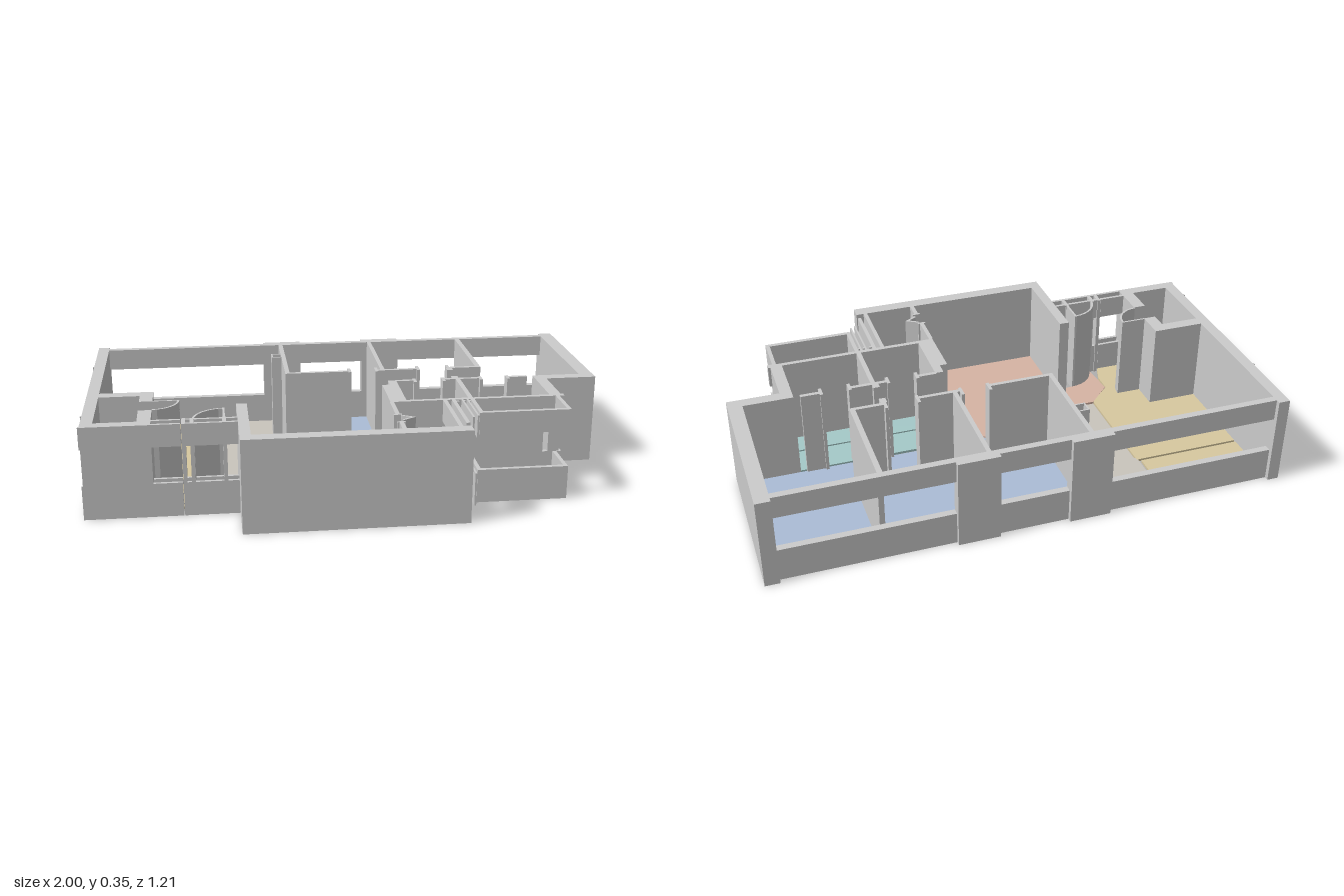
import * as THREE from 'three';

const H = 0.355, SILL = 0.13, HEAD = 0.27, FLOOR = 0.01;

export function createModel() {
  const model = new THREE.Group();
  model.name = 'apartment';
  const wallMat = new THREE.MeshStandardMaterial({ color: 0xcccccc });
  const mats = {};
  const floorMat = c => (mats[c] ??= new THREE.MeshStandardMaterial({ color: c }));

  // Upright block between two x, two z and two y values
  function block(name, x0, x1, z0, z1, y0 = 0, y1 = H) {
    const m = new THREE.Mesh(new THREE.BoxGeometry(x1 - x0, y1 - y0, z1 - z0), wallMat);
    m.position.set((x0 + x1) / 2, (y0 + y1) / 2, (z0 + z1) / 2);
    m.name = name;
    model.add(m);
  }
  // Sill and lintel with an open window band between them
  function windowWall(name, x0, x1, z0, z1) {
    block(name + 'Sill', x0, x1, z0, z1, 0, SILL);
    block(name + 'Lintel', x0, x1, z0, z1, HEAD, H);
  }
  // Flat slab from x, z outline points
  function slab(name, color, pts, y0 = 0, y1 = FLOOR, mat = floorMat(color)) {
    const shape = new THREE.Shape(pts.map(p => new THREE.Vector2(p[0], p[1])));
    const geo = new THREE.ExtrudeGeometry(shape, { depth: y1 - y0, bevelEnabled: false });
    geo.rotateX(Math.PI / 2);
    const m = new THREE.Mesh(geo, mat);
    m.position.y = y1;
    m.name = name;
    model.add(m);
  }
  const rect = (x0, x1, z0, z1) => [[x0, z0], [x1, z0], [x1, z1], [x0, z1]];
  // Thin curved upright following a door swing
  function doorSwing(name, cx, cz, r, a0, a1, t = 0.008) {
    const pts = [];
    for (let i = 0; i <= 8; i++) {
      const a = a0 + (a1 - a0) * i / 8;
      pts.push([cx + r * Math.cos(a), cz + r * Math.sin(a)]);
    }
    for (let i = 8; i >= 0; i--) {
      const a = a0 + (a1 - a0) * i / 8;
      pts.push([cx + (r - t) * Math.cos(a), cz + (r - t) * Math.sin(a)]);
    }
    slab(name, 0, pts, 0, H, wallMat);
  }

  // Floors
  const TAN = 0xd8c9a0, STONE = 0xcac5bd, BLUE = 0xabbdd6, SALMON = 0xd6b4a4, TEAL = 0xa5c9c8, GREY = 0xbcbfba;
  slab('diningFloorBack', TAN, rect(-0.95, -0.535, -0.56, -0.346));
  slab('diningFloorFront', TAN, [[-0.95, -0.336], [-0.52, -0.336], [-0.52, 0.11], [-0.615, 0.2], [-0.615, 0.28],
    [-0.64, 0.355], [-0.745, 0.355], [-0.745, 0.245], [-0.69, 0.22], [-0.65, 0.145], [-0.745, 0.145], [-0.745, 0.03], [-0.95, 0.03]]);
  slab('hallFloor', STONE, [[-0.525, -0.56], [-0.225, -0.56], [-0.225, -0.14], [-0.145, -0.135], [-0.375, 0.095],
    [-0.513, 0.095], [-0.513, -0.32], [-0.525, -0.33]]);
  slab('salonFloor', SALMON, [[-0.14, -0.125], [0.045, 0.05], [0.14, 0.05], [0.14, 0.55], [-0.395, 0.55], [-0.395, 0.21],
    [-0.435, 0.21], [-0.435, 0.245], [-0.51, 0.255], [-0.57, 0.29], [-0.6, 0.35], [-0.612, 0.2], [-0.52, 0.108], [-0.37, 0.108]]);
  slab('bedroomFloor', BLUE, rect(-0.205, 0.163, -0.56, -0.157));
  slab('bedroomFloor', BLUE, rect(0.18, 0.552, -0.56, -0.157));
  slab('corridorFloor', BLUE, [[-0.13, -0.14], [0.04, -0.14], [0.04, -0.157], [0.14, -0.157], [0.14, -0.14], [0.435, -0.14],
    [0.435, -0.005], [0.19, -0.005], [0.19, 0.045], [0.05, 0.045]]);
  slab('mainBedroomFloor', BLUE, [[0.575, -0.56], [0.945, -0.56], [0.945, 0], [0.445, 0], [0.445, -0.14], [0.575, -0.14]]);
  for (const [x0, x1] of [[0.205, 0.44], [0.46, 0.755]]) {
    slab('bathroomFloorBack', TEAL, rect(x0, x1, 0.01, 0.138));
    slab('bathroomFloorFront', TEAL, rect(x0, x1, 0.146, 0.24));
  }
  slab('kitchenFloor', GREY, rect(0.155, 0.34, 0.26, 0.545));
  slab('balconyFloor', STONE, rect(0.46, 0.775, 0.262, 0.402));
  slab('storeFloor', STONE, rect(-0.95, -0.795, 0.075, 0.367));
  slab('entryFloor', GREY, [[-0.48, 0.262], [-0.48, 0.36], [-0.595, 0.36], [-0.58, 0.31], [-0.54, 0.275]]);

  // Outer walls
  block('leftWall', -0.995, -0.95, -0.605, 0.41);
  block('rightWall', 0.945, 1, -0.605, 0.045);
  block('rightFrontWall', 0.80, 0.945, 0, 0.045);
  block('bathroomRightWall', 0.755, 0.80, 0, 0.26);
  block('salonFrontWall', -0.435, 0.385, 0.55, 0.6);
  block('salonLeftWall', -0.435, -0.395, 0.21, 0.55);

  // Back wall: window bands between two piers
  for (const [x0, x1] of [[-0.29, -0.13], [0.14, 0.3]]) block('backPier', x0, x1, -0.605, -0.56);
  for (const [x0, x1] of [[-0.95, -0.29], [-0.13, 0.14], [0.3, 0.945]]) windowWall('backWindow', x0, x1, -0.587, -0.56);

  // Ribs on the outer left wall
  for (let i = 0; i < 7; i++) block('wallRib', -1, -0.995, -0.17 + i * 0.032, -0.155 + i * 0.032, i % 2 ? 0.13 : 0.1, i % 2 ? 0.27 : 0.24);
  for (const z of [-0.33, 0.28, 0.4]) {
    block('wallRibLow', -1, -0.995, z, z + 0.01, 0, SILL);
    block('wallRibHigh', -1, -0.995, z, z + 0.01, HEAD, H);
  }

  // Store room beside the entry
  block('storeBackWall', -0.95, -0.745, 0.03, 0.077);
  block('storeFrontWall', -0.95, -0.745, 0.367, 0.41);
  block('storeSideWall', -0.795, -0.745, 0.077, 0.145);
  block('storeSideWall', -0.795, -0.745, 0.245, 0.367);
  // Entry windows and door
  for (const z of [0.355, 0.398]) {
    windowWall('entryWindow', -0.745, -0.64, z, z + 0.012);
    windowWall('entryWindow', -0.635, -0.435, z, z + 0.012);
  }
  for (const x of [-0.637, -0.607, -0.49]) block('entryPost', x, x + 0.014, 0.35, 0.41);
  doorSwing('entryDoorSwing', -0.48, 0.37, 0.12, Math.PI, Math.PI * 1.5);
  block('entryDoorLeaf', -0.487, -0.479, 0.25, 0.37);
  doorSwing('storeDoorSwing', -0.745, 0.145, 0.1, 0, Math.PI / 2);
  block('storeDoorLeaf', -0.745, -0.645, 0.139, 0.147);

  // Bedroom partitions
  block('hallPartition', -0.225, -0.207, -0.56, -0.14);
  block('bedroomPartition', 0.163, 0.18, -0.56, -0.14);
  block('bedroomPartition', 0.555, 0.575, -0.56, -0.14);
  for (const [x0, x1] of [[-0.225, 0.04], [0.14, 0.32], [0.44, 0.575]]) block('bedroomFrontWall', x0, x1, -0.156, -0.14);
  for (const x of [0.03, 0.14, 0.31, 0.435]) block('doorJamb', x, x + 0.012, -0.18, -0.13);
  // Hollow duct against the hall partition
  block('ductSide', -0.265, -0.259, -0.425, -0.375);
  block('ductEnd', -0.259, -0.225, -0.425, -0.419);
  block('ductEnd', -0.259, -0.225, -0.381, -0.375);

  // Bathroom walls
  block('bathroomLeftWall', 0.14, 0.203, 0.05, 0.25);
  block('bathroomLeftPier', 0.17, 0.203, 0, 0.05);
  block('bathroomMiddleWall', 0.44, 0.458, 0, 0.25);
  block('bathroomFrontWall', 0.14, 0.735, 0.242, 0.26);
  windowWall('bathroomFrontWindow', 0.735, 0.755, 0.242, 0.26);
  for (const [x0, x1] of [[0.2, 0.28], [0.39, 0.54], [0.65, 0.73]]) block('bathroomBackWall', x0, x1, -0.006, 0.01);
  for (const x of [0.27, 0.385, 0.535, 0.645]) block('bathroomDoorJamb', x, x + 0.012, -0.015, 0.03);
  for (const z of [-0.14, -0.03]) block('mainBedroomDoorJamb', 0.43, 0.455, z, z + 0.03);

  // Kitchen: wall to the salon with a folding door, window strips on the outside
  block('kitchenWall', 0.137, 0.153, 0.26, 0.4);
  block('kitchenWall', 0.137, 0.153, 0.48, 0.55);
  for (const z of [0.395, 0.475]) block('kitchenDoorJamb', 0.13, 0.16, z, z + 0.01);
  slab('foldingDoor', 0, [[0.155, 0.405], [0.205, 0.435], [0.155, 0.465], [0.155, 0.455], [0.188, 0.435], [0.155, 0.415]], 0, H, wallMat);
  windowWall('kitchenWindow', 0.34, 0.355, 0.26, 0.55);
  windowWall('kitchenOuterWindow', 0.373, 0.387, 0.26, 0.52);
  windowWall('kitchenScreen', 0.41, 0.417, 0.26, 0.46);
  windowWall('kitchenScreen', 0.43, 0.437, 0.26, 0.45);
  for (const [x, z] of [[0.385, 0.27], [0.41, 0.27], [0.43, 0.27]]) block('screenPost', x, x + 0.012, z, z + 0.012);

  // Balcony parapet and lintel ring
  windowWall('balconyLeft', 0.445, 0.46, 0.26, 0.42);
  windowWall('balconyRight', 0.775, 0.79, 0.26, 0.42);
  windowWall('balconyFront', 0.46, 0.775, 0.403, 0.42);
  windowWall('balconyCorner', 0.79, 0.81, 0.24, 0.262);

  return model;
}
